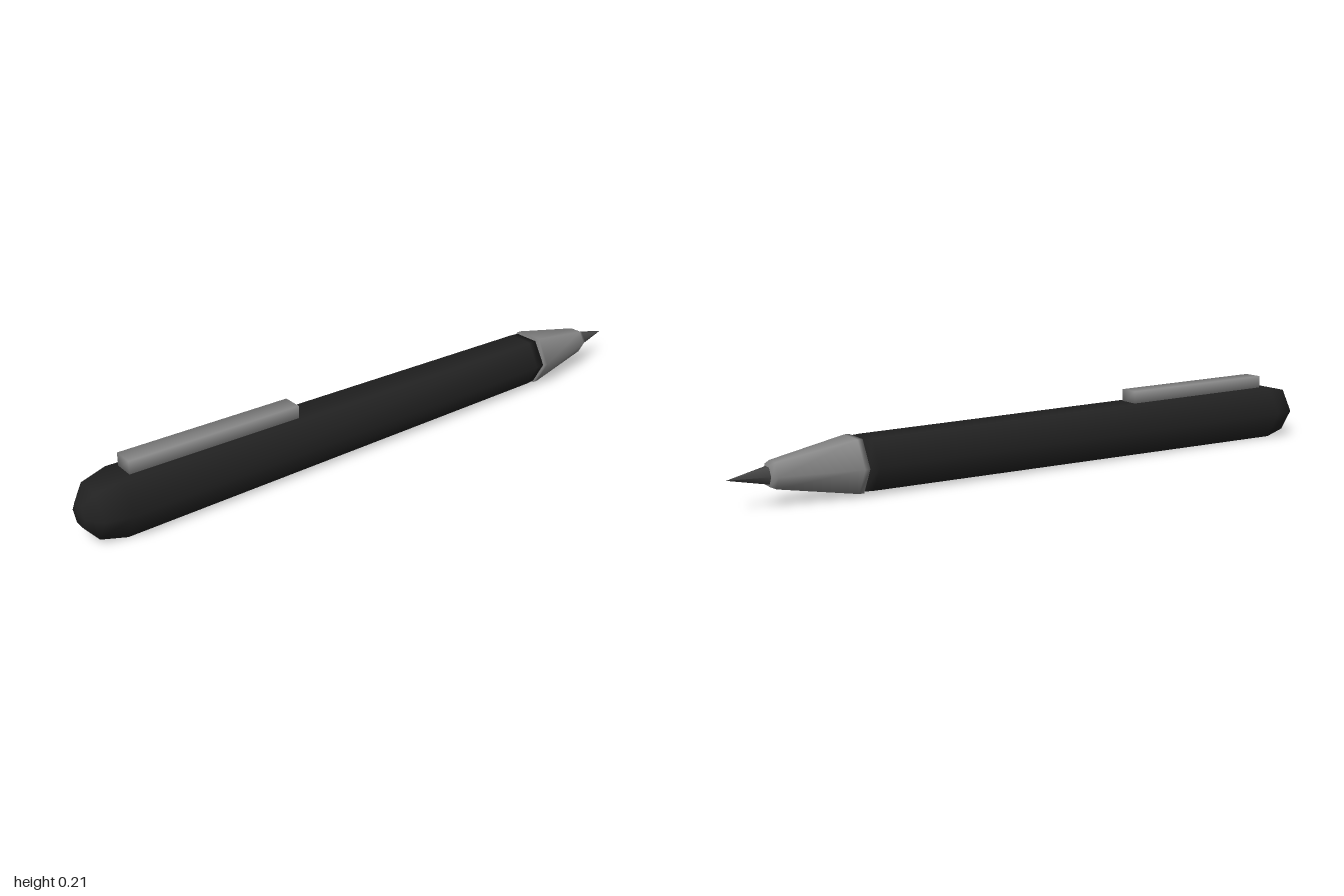
import * as THREE from 'three';
import { mergeVertices } from 'three/addons/utils/BufferGeometryUtils.js';

const AXIS_Y = 0.086;

const material = (name, color) => {
  const m = new THREE.MeshStandardMaterial({ color });
  m.name = name;
  return m;
};

// Six-sided smooth turned part along z; profile is [radius, z] with z rising
function hexTurned(name, profile, mat) {
  const geo = new THREE.LatheGeometry(
    profile.map(([r, z]) => new THREE.Vector2(r, z)), 6, Math.PI / 2);
  geo.rotateX(Math.PI / 2);
  const mesh = new THREE.Mesh(geo, mat);
  mesh.name = name;
  mesh.position.y = AXIS_Y;
  return mesh;
}

export function createModel() {
  const black = material('blackPlastic', 0x222222);
  const metal = material('greyMetal', 0x888888);
  const graphite = material('darkGraphite', 0x484848);
  const pen = new THREE.Group();
  pen.name = 'pen';

  // Tapered barrel with a rounded butt end
  pen.add(hexTurned('barrel', [
    [0, -0.63], [0.083, -0.63], [0.085, -0.6], [0.0985, 0.89],
    [0.079, 0.965], [0.036, 0.998], [0, 1],
  ], black));

  // Metal nose cone, slightly wider than the barrel
  pen.add(hexTurned('noseCone', [
    [0, -0.887], [0.034, -0.887], [0.042, -0.872], [0.088, -0.645], [0.088, -0.63], [0, -0.63],
  ], metal));

  // Pointed writing tip
  pen.add(hexTurned('tip', [[0, -1], [0.027, -0.885], [0, -0.885]], graphite));

  // Pocket clip: a softly shaded bar following the barrel's taper
  let bar = new THREE.BoxGeometry(0.063, 0.05, 0.54);
  bar.deleteAttribute('normal');
  bar.deleteAttribute('uv');
  bar = mergeVertices(bar);
  bar.computeVertexNormals();
  const clip = new THREE.Mesh(bar, metal);
  clip.name = 'clip';
  clip.position.set(0, 0.1825, 0.59);
  clip.rotation.x = -0.009;
  pen.add(clip);

  return pen;
}
